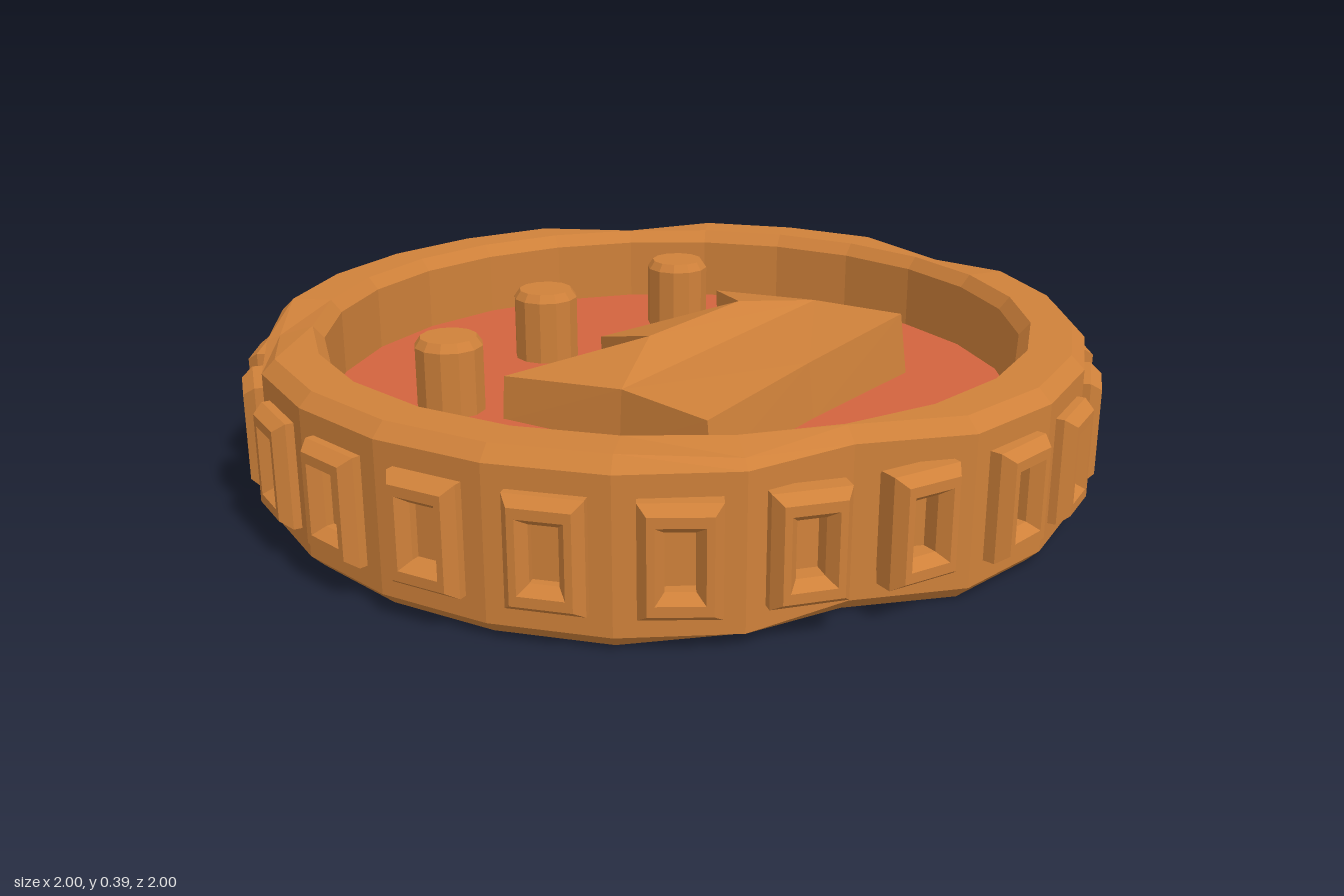
import * as THREE from 'three';

const H = 0.39;          // rim height
const STEPS = 24;        // facets round the rim

const bronze = new THREE.MeshStandardMaterial({ color: 0xcf813a });
bronze.name = 'bronze';
const redClay = new THREE.MeshStandardMaterial({ color: 0xd2643e });
redClay.name = 'redClay';

function add(parent, name, geometry, material) {
  const mesh = new THREE.Mesh(geometry, material);
  mesh.name = name;
  parent.add(mesh);
  return mesh;
}

function faceted(geometry) {
  const g = geometry.index ? geometry.toNonIndexed() : geometry;
  g.computeVertexNormals();
  return g;
}

function lathe(profile, sides) {
  return new THREE.LatheGeometry(profile.map(([r, y]) => new THREE.Vector2(r, y)), sides);
}

// Rim: chamfered band with one deep dent and a few chipped corners
function rimGeometry() {
  const g = lathe([
    [0.84, 0], [0.935, 0], [0.965, 0.03], [0.965, H - 0.03], [0.935, H],
    [0.84, H], [0.815, H - 0.03], [0.815, 0.03], [0.84, 0],
  ], STEPS);
  const dents = { '-30': 0.09, '-15': 0.01, '75': 0.015, '135': 0.015, '-135': 0.02, '-45': 0.015 };
  const chips = { '75': 0.02, '135': 0.02, '-135': 0.02, '-45': 0.015 };
  const p = g.attributes.position;
  for (let i = 0; i < p.count; i++) {
    const x = p.getX(i), y = p.getY(i), z = p.getZ(i);
    const r = Math.hypot(x, z);
    if (r < 0.9) continue;
    const key = String(Math.round(THREE.MathUtils.radToDeg(Math.atan2(x, z)) / 15) * 15);
    const k = (r - (dents[key] || 0)) / r;
    const chip = y < 0.02 ? chips[key] || 0 : y > H - 0.02 ? -(chips[key] || 0) : 0;
    p.setXYZ(i, x * k, y + chip, z * k);
  }
  return faceted(g);
}

// Stud: bevelled rectangular frame; bend shifts its middle sideways
function studGeometry(bend) {
  const outline = (w, h) => [
    [-w, -h], [w, -h], [w + bend, 0], [w, h], [-w, h], [-w + bend, 0],
  ].map(([x, y]) => new THREE.Vector2(x, y));
  const shape = new THREE.Shape(outline(0.0625, 0.1));
  shape.holes.push(new THREE.Path(outline(0.0475, 0.078).reverse()));
  return new THREE.ExtrudeGeometry(shape, {
    depth: 0.04, bevelEnabled: true, bevelThickness: 0.025, bevelSize: 0.018, bevelSegments: 1,
  });
}

// Crown: sharp outline [x, z, top height] rising to different heights
function crownGeometry() {
  const base = 0.2;
  const pts = [
    [-0.41, 0.395, 0.32], [0, 0.385, 0.335], [0.41, 0.395, 0.355], [0.405, 0.15, 0.35],
    [0.42, -0.165, 0.32], [0.18, 0.07, 0.385], [0, -0.22, 0.285], [-0.18, 0.07, 0.385],
    [-0.415, -0.165, 0.305], [-0.385, 0.15, 0.33],
  ];
  const pos = [];
  const top = ([x, z, h]) => [x, h, z];
  const foot = ([x, z]) => [x * 1.02, base, z > 0.3 ? z + 0.017 : z];
  // outline runs counter-clockwise when seen from above
  const flat = pts.map(([x, z]) => new THREE.Vector2(x, -z));
  for (const [a, b, c] of THREE.ShapeUtils.triangulateShape(flat, [])) {
    pos.push(...top(pts[a]), ...top(pts[b]), ...top(pts[c]));
  }
  pts.forEach((a, i) => {
    const b = pts[(i + 1) % pts.length];
    pos.push(...foot(a), ...foot(b), ...top(b), ...foot(a), ...top(b), ...top(a));
  });
  const g = new THREE.BufferGeometry();
  g.setAttribute('position', new THREE.Float32BufferAttribute(pos, 3));
  g.computeVertexNormals();
  return g;
}

// Emblem: crown with three round pegs above its points
function emblem(name) {
  const group = new THREE.Group();
  group.name = name;
  add(group, 'crown', crownGeometry(), bronze);
  const pegGeometry = faceted(lathe([[0.08, 0.2], [0.08, 0.36], [0.066, 0.38], [0, 0.38]], 12));
  for (const [x, z] of [[-0.44, -0.31], [0, -0.4], [0.44, -0.31]]) {
    add(group, 'peg', pegGeometry, bronze).position.set(x, 0, z);
  }
  return group;
}

export function createModel() {
  const coin = new THREE.Group();
  coin.name = 'coin';

  add(coin, 'rim', rimGeometry(), bronze);

  const disc = faceted(new THREE.CylinderGeometry(0.825, 0.825, 0.02, STEPS));
  add(coin, 'disc', disc, redClay).position.y = H / 2;

  // Studs round the edge, two of them bent
  const studs = new THREE.Group();
  studs.name = 'studs';
  coin.add(studs);
  const straight = studGeometry(0);
  const bent = studGeometry(0.035);
  for (let i = 0; i < STEPS; i++) {
    const deg = 7.5 + i * 15;
    const a = THREE.MathUtils.degToRad(deg);
    const isBent = deg === 157.5 || deg === 172.5;
    const r = isBent ? 0.925 : deg === 322.5 || deg === 337.5 ? 0.91 : 0.935;
    const stud = add(studs, 'stud', isBent ? bent : straight, bronze);
    stud.position.set(Math.sin(a) * r, H / 2, Math.cos(a) * r);
    stud.rotation.y = a;
  }

  // The same emblem on both faces
  coin.add(emblem('topEmblem'));
  const under = emblem('bottomEmblem');
  under.rotation.x = Math.PI;
  under.position.y = H;
  coin.add(under);

  return coin;
}
